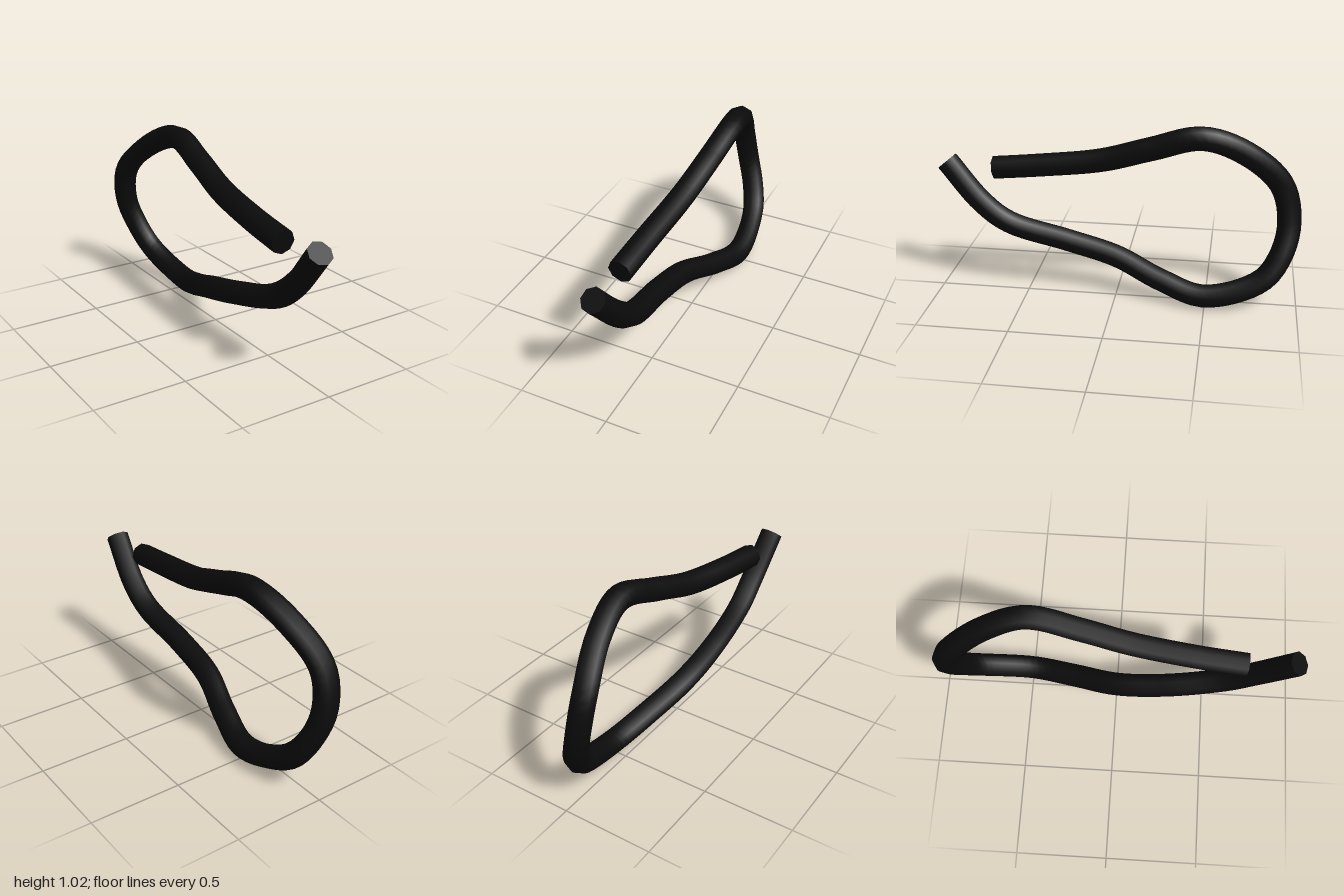
import * as THREE from 'three';

const RADIUS = 0.066, SIDES = 8, STEPS = 96;

// Centre line of the bent hose, from the upper end round the back to the lower end
const PATH = [
  [-0.06, 0.708, 0.683], [-0.045, 0.74, 0.42], [-0.015, 0.795, 0.08],
  [0.015, 0.88, -0.19], [0.035, 0.955, -0.46], [-0.01, 0.868, -0.69],
  [-0.07, 0.68, -0.885], [-0.055, 0.47, -0.935], [0.0, 0.29, -0.895],
  [0.045, 0.165, -0.8], [0.08, 0.07, -0.5], [0.025, 0.127, -0.25],
  [-0.045, 0.22, 0], [-0.06, 0.295, 0.28], [-0.04, 0.395, 0.61],
  [-0.035, 0.51, 0.76], [-0.05, 0.738, 0.95],
].map((p) => new THREE.Vector3(...p));

// Flat disc closing one ring of the tube
function endCap(tube, ring, flip) {
  const pos = tube.attributes.position;
  const corners = [];
  for (let i = 0; i < SIDES; i++) {
    corners.push(new THREE.Vector3().fromBufferAttribute(pos, ring * (SIDES + 1) + i));
  }
  const index = [];
  for (let i = 1; i < SIDES - 1; i++) index.push(0, flip ? i + 1 : i, flip ? i : i + 1);
  const geometry = new THREE.BufferGeometry().setFromPoints(corners);
  geometry.setIndex(index);
  geometry.computeVertexNormals();
  return geometry;
}

export function createModel() {
  const model = new THREE.Group();
  model.name = 'bentHose';
  const blackRubber = new THREE.MeshStandardMaterial({ color: 0x0b0b0b, side: THREE.DoubleSide });
  blackRubber.name = 'black rubber';

  const add = (name, geometry) => {
    const mesh = new THREE.Mesh(geometry, blackRubber);
    mesh.name = name;
    model.add(mesh);
  };

  // Hose body
  const curve = new THREE.CatmullRomCurve3(PATH, false, 'centripetal');
  const tube = new THREE.TubeGeometry(curve, STEPS, RADIUS, SIDES, false);
  add('hose', tube);

  // Closed ends, facing outward
  const outward = [curve.getTangentAt(0).negate(), curve.getTangentAt(1)];
  ['upperEnd', 'lowerEnd'].forEach((name, i) => {
    const ring = i * STEPS;
    let cap = endCap(tube, ring, false);
    const normal = new THREE.Vector3().fromBufferAttribute(cap.attributes.normal, 0);
    if (normal.dot(outward[i]) < 0) cap = endCap(tube, ring, true);
    add(name, cap);
  });

  return model;
}
